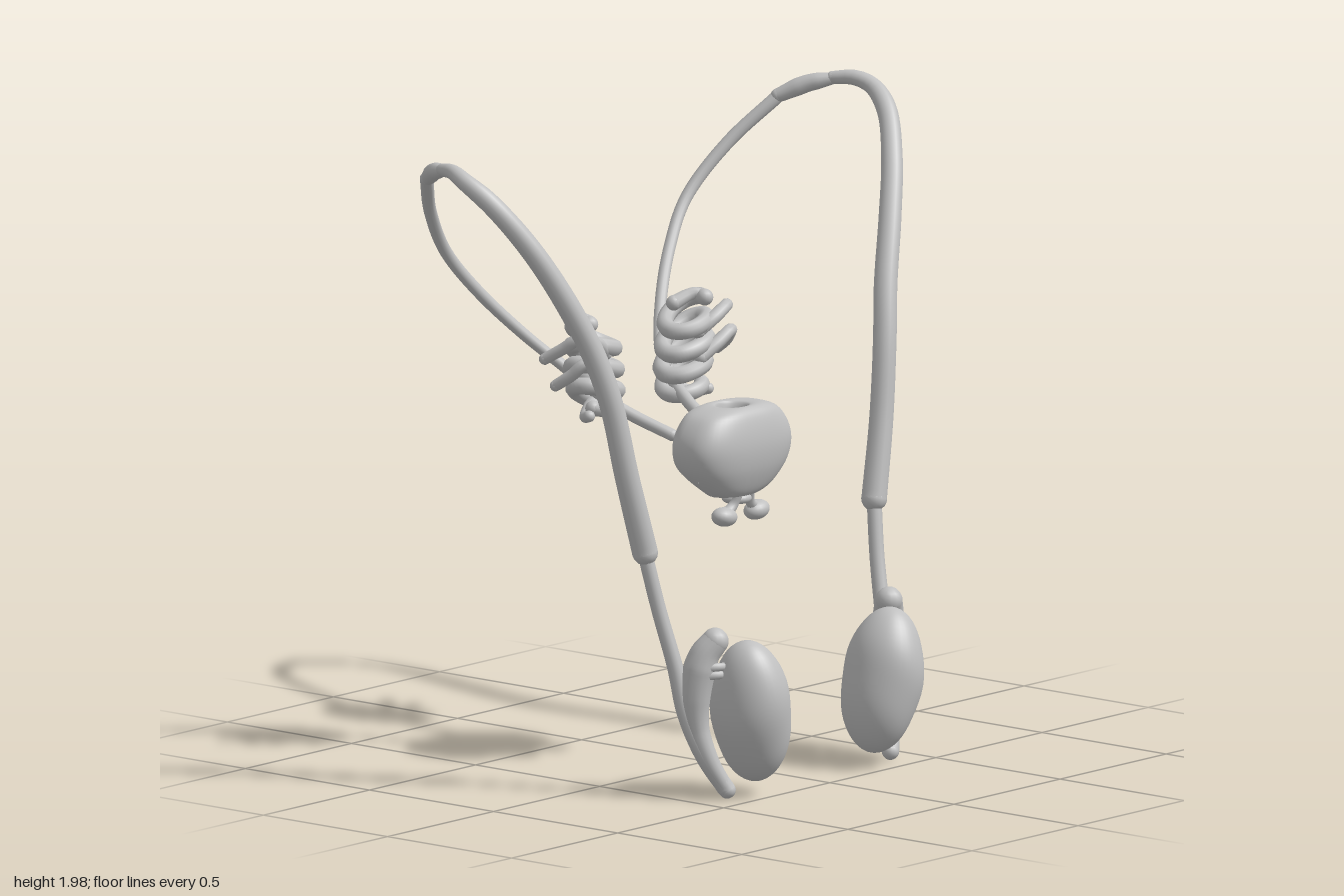
import * as THREE from 'three';
import { mergeVertices } from 'three/addons/utils/BufferGeometryUtils.js';

const grey = new THREE.MeshStandardMaterial({ color: 0xc0c0c0 });
grey.name = 'pale grey';

// Weld seams and smooth the normals of a reshaped geometry
function smooth(geometry) {
  geometry.deleteAttribute('uv');
  geometry.deleteAttribute('normal');
  const g = mergeVertices(geometry, 1e-5);
  g.computeVertexNormals();
  return g;
}

function addMesh(parent, name, geometry) {
  const mesh = new THREE.Mesh(geometry, grey);
  mesh.name = name;
  parent.add(mesh);
  return mesh;
}

// Tube through points [x, y, z], radius interpolated along a list, round ends
function duct(parent, name, side, points, radii, segments = 48, sides = 14) {
  const curve = new THREE.CatmullRomCurve3(points.map(([x, y, z]) => new THREE.Vector3(side * x, y, z)));
  const radiusAt = (t) => {
    const f = t * (radii.length - 1);
    const i = Math.min(Math.floor(f), radii.length - 2);
    return THREE.MathUtils.lerp(radii[i], radii[i + 1], f - i);
  };
  const geometry = new THREE.TubeGeometry(curve, segments, 1, sides, false);
  const pos = geometry.attributes.position;
  const v = new THREE.Vector3();
  for (let j = 0; j <= segments; j++) {
    const centre = curve.getPointAt(j / segments);
    for (let k = 0; k <= sides; k++) {
      const i = j * (sides + 1) + k;
      v.fromBufferAttribute(pos, i).sub(centre).multiplyScalar(radiusAt(j / segments)).add(centre);
      pos.setXYZ(i, v.x, v.y, v.z);
    }
  }
  const group = new THREE.Group();
  group.name = name;
  addMesh(group, name + 'Tube', smooth(geometry));
  for (const t of [0, 1]) {
    addMesh(group, name + 'End', new THREE.SphereGeometry(radiusAt(t), 14, 10)).position.copy(curve.getPointAt(t));
  }
  parent.add(group);
}

// Central gland: a lathe with a round channel, flattened front to back
function gland(parent) {
  const outline = [
    [0.035, 1.08], [0.035, 0.98], [0.035, 0.89], [0.055, 0.865], [0.10, 0.865],
    [0.15, 0.895], [0.20, 0.95], [0.22, 1.01], [0.208, 1.065], [0.17, 1.115],
    [0.12, 1.137], [0.07, 1.14], [0.05, 1.128], [0.035, 1.08],
  ];
  const curve = new THREE.SplineCurve(outline.map(([x, y]) => new THREE.Vector2(x, y)));
  const geometry = new THREE.LatheGeometry(curve.getPoints(60), 48);
  const pos = geometry.attributes.position;
  const power = (value, exponent) => Math.sign(value) * Math.abs(value) ** exponent;
  for (let i = 0; i < pos.count; i++) {
    const x = pos.getX(i), y = pos.getY(i), z = pos.getZ(i);
    const r = Math.hypot(x, z);
    const wide = THREE.MathUtils.smoothstep(r, 0.05, 0.15);
    const box = THREE.MathUtils.lerp(1, 0.72, wide);
    const depth = Math.min(r, 0.045) + Math.max(r - 0.045, 0) * 0.4;
    let nz = power(z / r, box) * depth;
    // the lower back slopes forward
    if (nz < 0) nz += wide * 0.04 * THREE.MathUtils.smoothstep(0.98 - y, 0, 0.12);
    pos.setXYZ(i, power(x / r, box) * r, y, nz + 0.105);
  }
  addMesh(parent, 'centralGland', smooth(geometry));
  // short channel outlet below
  const ring = addMesh(parent, 'channelOutlet', new THREE.TorusGeometry(0.033, 0.014, 10, 24));
  ring.rotation.x = Math.PI / 2;
  ring.position.set(0, 0.85, 0.125);
}

// Egg-shaped organ, slightly tilted and uneven
function egg(parent, side) {
  const geometry = new THREE.SphereGeometry(1, 36, 28);
  const pos = geometry.attributes.position;
  for (let i = 0; i < pos.count; i++) {
    const x = pos.getX(i), y = pos.getY(i), z = pos.getZ(i);
    const bump = 1 + 0.025 * Math.sin(5 * y + 2 * side * x) * (1 - y * y);
    pos.setXYZ(i, x * 0.116 * bump, y * 0.227, z * 0.13 * bump);
  }
  const mesh = addMesh(parent, 'egg', smooth(geometry));
  mesh.position.set(side * 0.308, 0.275, 0.447);
  mesh.rotation.set(0.06, 0, -side * 0.16);
}

// Coiled gland with outward fingers
function coil(parent, side) {
  const points = [];
  const turns = 4;
  for (let i = 0; i <= turns * 10; i++) {
    const t = i / (turns * 10);
    const a = t * turns * Math.PI * 2 + 0.6;
    const swell = 0.062 + 0.02 * Math.sin(t * Math.PI);
    const dx = Math.cos(a) * swell;
    points.push([0.205 + dx + 0.015 * t, 1.10 + 0.265 * t + dx * 0.4, -0.268 + Math.sin(a) * 0.058]);
  }
  duct(parent, 'coiledGland', side, points, [0.024, 0.028, 0.027, 0.026], 200, 10);
  const fingers = [
    [[0.22, 1.29, -0.22], [0.28, 1.33, -0.20], [0.345, 1.355, -0.21], [0.37, 1.32, -0.26], [0.39, 1.285, -0.315]],
    [[0.22, 1.21, -0.21], [0.28, 1.25, -0.19], [0.34, 1.28, -0.19], [0.365, 1.24, -0.23], [0.38, 1.205, -0.28]],
    [[0.20, 1.37, -0.30], [0.26, 1.395, -0.27], [0.28, 1.385, -0.24]],
    [[0.18, 1.12, -0.30], [0.25, 1.09, -0.27], [0.28, 1.10, -0.23]],
  ];
  for (const f of fingers) duct(parent, 'glandFinger', side, f, [0.024, 0.02, 0.018], 20, 10);
}

export function createModel() {
  const model = new THREE.Group();
  model.name = 'ductSystem';
  gland(model);

  for (const side of [1, -1]) {
    const half = new THREE.Group();
    half.name = side > 0 ? 'leftHalf' : 'rightHalf';
    model.add(half);

    // thick sheathed rise
    duct(half, 'sheathedDuct', side, [
      [0.54, 0.775, 0.217], [0.60, 1.02, 0.195], [0.645, 1.25, 0.17], [0.69, 1.41, 0.135], [0.775, 1.6, 0.08],
      [0.86, 1.76, 0.015], [0.935, 1.89, -0.07], [0.96, 1.95, -0.15], [0.945, 1.97, -0.21], [0.92, 1.965, -0.275],
    ], [0.04, 0.038, 0.037, 0.037, 0.036, 0.034, 0.031, 0.02], 64);
    duct(half, 'ductSleeve', side, [[0.93, 1.965, -0.26], [0.88, 1.945, -0.34], [0.825, 1.905, -0.415]],
      [0.015, 0.026, 0.028, 0.022], 20);

    // thin duct looping behind, then entering the gland
    duct(half, 'loopingDuct', side, [
      [0.83, 1.905, -0.415], [0.70, 1.765, -0.51], [0.565, 1.61, -0.56], [0.45, 1.475, -0.53],
      [0.32, 1.33, -0.455], [0.22, 1.22, -0.37], [0.17, 1.14, -0.28], [0.135, 1.09, -0.19], [0.09, 1.035, -0.06],
    ], [0.021, 0.02, 0.019, 0.019, 0.018, 0.02, 0.019], 64);

    // thin duct dropping to the egg, and the tapered body it joins
    duct(half, 'lowerDuct', side, [
      [0.54, 0.77, 0.217], [0.515, 0.60, 0.25], [0.49, 0.42, 0.295], [0.473, 0.27, 0.325],
      [0.435, 0.13, 0.375], [0.385, 0.035, 0.415],
    ], [0.023, 0.023, 0.024, 0.026, 0.028, 0.027]);
    duct(half, 'taperedBody', side, [
      [0.41, 0.50, 0.388], [0.435, 0.455, 0.365], [0.452, 0.36, 0.35], [0.452, 0.25, 0.35],
      [0.43, 0.13, 0.38], [0.39, 0.04, 0.412],
    ], [0.042, 0.052, 0.045, 0.034, 0.03, 0.026]);
    for (const y of [0.395, 0.42]) {
      duct(half, 'connector', side, [[0.455, y, 0.385], [0.43, y + 0.004, 0.41], [0.37, y, 0.42]], [0.013, 0.013], 10, 8);
    }

    egg(half, side);
    coil(half, side);

    // small bulb under the gland, with its stalk
    const bulb = addMesh(half, 'smallBulb', new THREE.SphereGeometry(1, 20, 14));
    bulb.scale.set(0.046, 0.03, 0.036);
    bulb.position.set(side * 0.076, 0.803, 0.14);
    bulb.rotation.z = side * 0.15;
    duct(half, 'bulbStalk', side, [[0.07, 0.81, 0.14], [0.04, 0.835, 0.145], [0.022, 0.89, 0.165]],
      [0.02, 0.014, 0.012], 14, 10);
  }
  return model;
}
